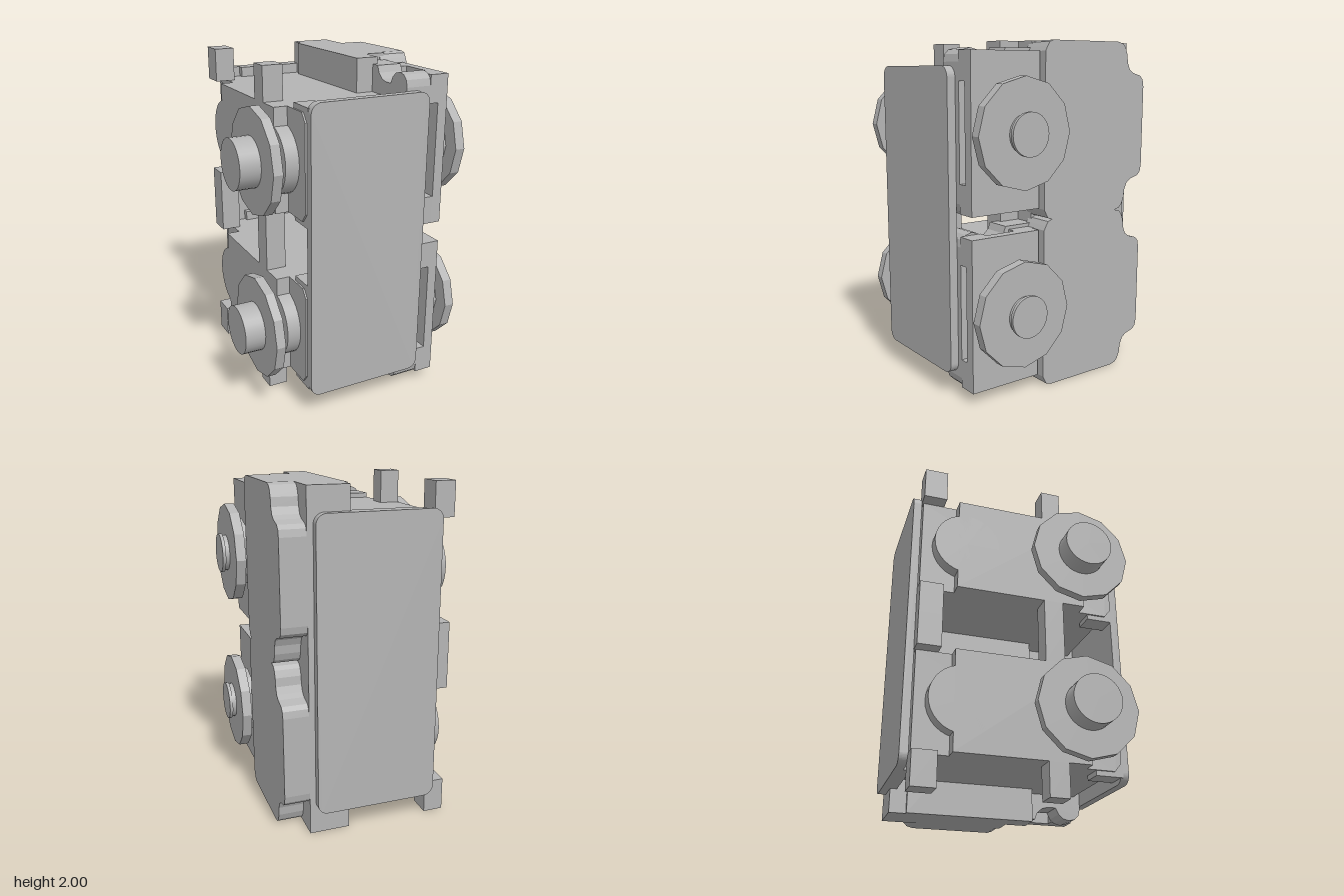
import * as THREE from 'three';

const grey = new THREE.MeshStandardMaterial({ color: 0xb4b4b4 });
grey.name = 'plain grey';

function add(parent, name, geometry) {
  const mesh = new THREE.Mesh(geometry, grey);
  mesh.name = name;
  parent.add(mesh);
  return mesh;
}

// Box given by its limits on each axis
function box(parent, name, x0, x1, y0, y1, z0, z1) {
  const m = add(parent, name, new THREE.BoxGeometry(x1 - x0, y1 - y0, z1 - z0));
  m.position.set((x0 + x1) / 2, (y0 + y1) / 2, (z0 + z1) / 2);
}

// Side profile of [z, y] points, extruded from x0 to x1
function sideExtrude(parent, name, points, x0, x1) {
  const shape = new THREE.Shape(points.map(([z, y]) => new THREE.Vector2(-z, y)));
  const g = new THREE.ExtrudeGeometry(shape, { depth: x1 - x0, bevelEnabled: false });
  g.rotateY(Math.PI / 2);
  g.translate(x0, 0, 0);
  add(parent, name, g);
}

// Mirror an upper profile about y = 0.5 into a closed outline
function mirrored(upper) {
  return [...upper, ...upper.map(([z, y]) => [z, 1 - y]).reverse()];
}

// Disc whose axis runs along x
function disc(parent, name, r, x0, x1, z, sides = 32) {
  const g = new THREE.CylinderGeometry(r, r, x1 - x0, sides);
  g.rotateZ(Math.PI / 2);
  if (sides < 20) {
    const flat = g.toNonIndexed();
    flat.computeVertexNormals();
    add(parent, name, flat).position.set((x0 + x1) / 2, 0.503, z);
  } else add(parent, name, g).position.set((x0 + x1) / 2, 0.503, z);
}

// One module, one unit tall
function buildUnit() {
  const u = new THREE.Group();
  const axle = 0.345;

  // Core with chamfered front edges, and raised rear rim
  sideExtrude(u, 'core', mirrored([[-0.61, 0.8], [0.575, 0.8], [0.615, 0.75]]), -0.37, 0.25);
  box(u, 'rearRim', -0.24, 0.16, 0.14, 0.86, -0.62, -0.58);
  box(u, 'frontClip', -0.36, -0.24, 0.17, 0.83, 0.46, 0.63);

  // Side slab with round bosses and corner pegs
  box(u, 'sideSlab', -0.45, -0.37, 0.2, 0.8, -0.4, 0.4);
  for (const z of [-axle, axle]) disc(u, 'sideBoss', 0.2, -0.45, -0.36, z);
  for (const [z0, z1] of [[-0.62, -0.48], [0.14, 0.26]]) {
    box(u, 'lowerPeg', -0.45, -0.33, 0, 0.2, z0, z1);
    box(u, 'upperPeg', -0.45, -0.33, 0.8, 1, z0, z1);
  }

  // Shell: stepped inner part and outer panel with scooped rear corners
  box(u, 'innerShell', 0.14, 0.275, 0, 1, -0.52, 0.255);
  box(u, 'rearShell', 0.16, 0.4, 0, 1, -0.62, -0.5);
  box(u, 'middleShell', 0.27, 0.4, 0, 1, -0.52, 0.125);
  sideExtrude(u, 'outerPanel', mirrored([
    [-0.62, 0.74], [-0.612, 0.78], [-0.59, 0.803], [-0.53, 0.82], [-0.5, 0.84],
    [-0.482, 0.88], [-0.476, 0.93], [-0.46, 0.97], [-0.44, 0.99], [-0.4, 1],
    [0.09, 1], [0.12, 0.99], [0.135, 0.965], [0.148, 0.94],
  ]), 0.37, 0.55);

  // Hinge block with a scooped and rounded end
  sideExtrude(u, 'hingeBlock', mirrored([
    [0.12, 0.96], [0.31, 0.96], [0.325, 0.92], [0.36, 0.89], [0.4, 0.88], [0.45, 0.88],
    [0.47, 0.92], [0.5, 0.945], [0.54, 0.955], [0.58, 0.945], [0.605, 0.92], [0.615, 0.88],
  ]), 0.245, 0.4);

  // Wheel housing with a vertical shaft and front slot
  box(u, 'housingWall', 0.455, 0.515, 0.065, 0.94, 0.16, 0.615);
  box(u, 'housingRear', 0.4, 0.455, 0.065, 0.94, 0.14, 0.29);
  box(u, 'housingLower', 0.4, 0.455, 0.065, 0.23, 0.48, 0.615);
  box(u, 'housingUpper', 0.4, 0.455, 0.78, 0.94, 0.48, 0.615);

  // Wheels: radius, from x, to x, sides
  const leftWheel = [
    ['leftAxle', 0.14, 0.51, 0.53, 32], ['leftHub', 0.21, 0.53, 0.575, 12],
    ['leftWheel', 0.305, 0.575, 0.635, 12], ['leftNeck', 0.11, 0.635, 0.66, 32],
    ['leftCap', 0.12, 0.66, 0.68, 32],
  ];
  const rightWheel = [
    ['rightAxle', 0.09, -0.485, -0.45, 32], ['rightCollar', 0.11, -0.51, -0.48, 32],
    ['rightWheel', 0.305, -0.565, -0.51, 12], ['rightCap', 0.145, -0.685, -0.565, 32],
  ];
  for (const [name, r, x0, x1, sides] of [...leftWheel, ...rightWheel]) {
    disc(u, name, r, x0, x1, axle, sides);
  }
  return u;
}

// Long cover plate with rounded corners
function coverPlate() {
  const s = new THREE.Shape();
  const x0 = -0.36, x1 = 0.365, y0 = 0.14, y1 = 1.86, r = 0.06;
  s.moveTo(x0 + r, y0);
  s.lineTo(x1 - r, y0);
  s.absarc(x1 - r, y0 + r, r, -Math.PI / 2, 0);
  s.absarc(x1 - r, y1 - r, r, 0, Math.PI / 2);
  s.absarc(x0 + r, y1 - r, r, Math.PI / 2, Math.PI);
  s.absarc(x0 + r, y0 + r, r, Math.PI, Math.PI * 1.5);
  return new THREE.ExtrudeGeometry(s, { depth: 0.05, bevelEnabled: false, curveSegments: 6 });
}

export function createModel() {
  const model = new THREE.Group();
  model.name = 'stackedModules';
  for (const [i, name] of ['lowerModule', 'upperModule'].entries()) {
    const unit = buildUnit();
    unit.name = name;
    unit.position.y = i;
    model.add(unit);
  }
  // Plates tie the two modules together front and back
  add(model, 'frontPlate', coverPlate()).position.z = 0.615;
  add(model, 'rearPlate', coverPlate()).position.z = -0.668;
  return model;
}
